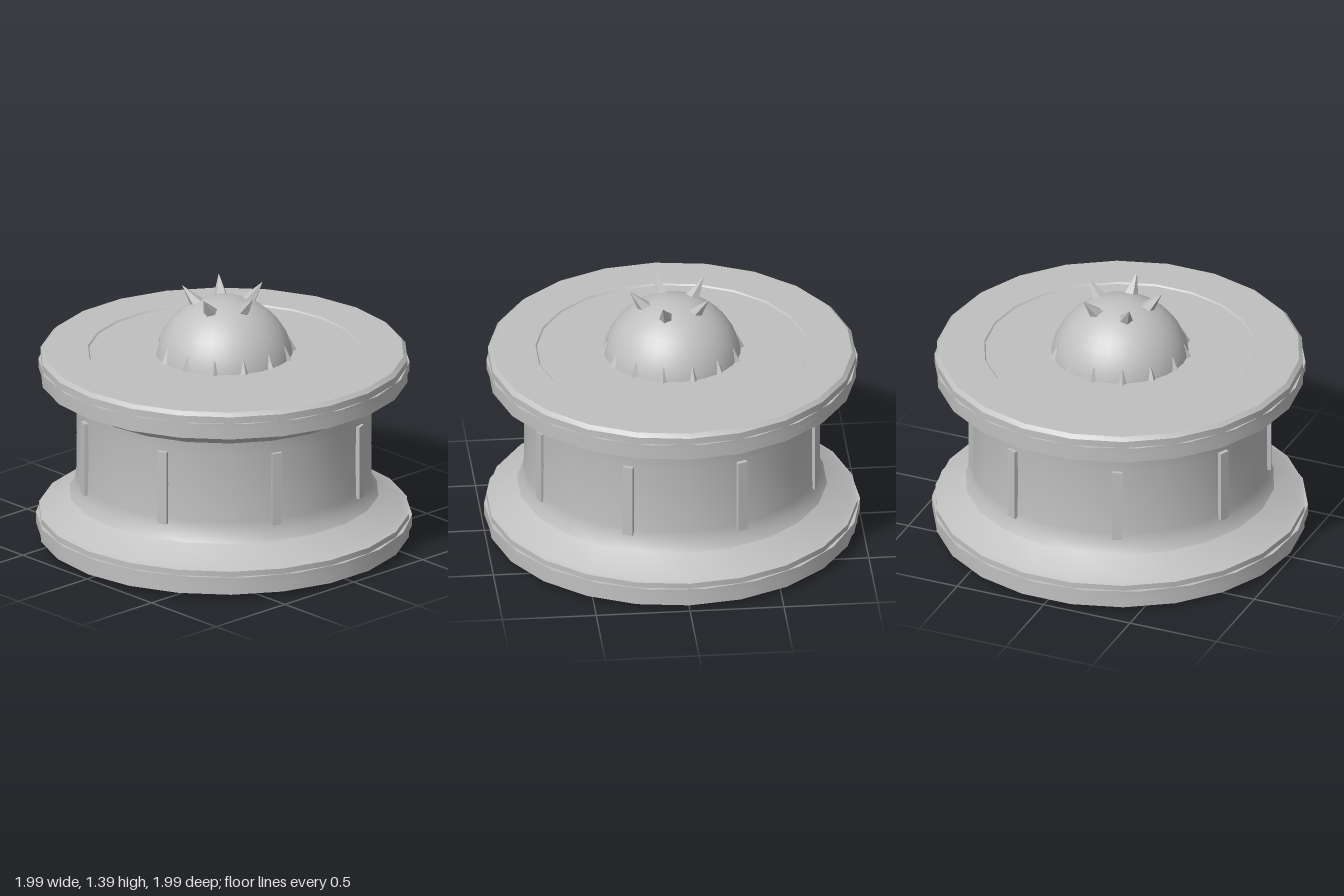
import * as THREE from 'three';
import { toCreasedNormals } from 'three/addons/utils/BufferGeometryUtils.js';

const SIDES = 22;

export function createModel() {
  const model = new THREE.Group();
  const grey = new THREE.MeshStandardMaterial({ color: 0xc0c0c0 });
  grey.name = 'grey metal';

  const add = (name, geometry, parent = model) => {
    const mesh = new THREE.Mesh(geometry, grey);
    mesh.name = name;
    parent.add(mesh);
    return mesh;
  };

  // Turned part from [radius, height] pairs, listed from the bottom up
  const turned = (name, profile, start = Math.PI / 2) => {
    const points = profile.map(([r, y]) => new THREE.Vector2(r, y));
    const lathe = new THREE.LatheGeometry(points, SIDES, start, Math.PI * 2);
    return add(name, toCreasedNormals(lathe, 0.5));
  };

  // Repeats a part around the vertical axis; angle 0 faces the front
  const around = (name, count, offset, build) => {
    const group = new THREE.Group();
    group.name = name;
    for (let i = 0; i < count; i++) {
      const arm = new THREE.Group();
      arm.rotation.y = offset + (i / count) * Math.PI * 2;
      build(arm);
      group.add(arm);
    }
    model.add(group);
  };

  // Spool: lower flange, waisted drum and upper flange
  turned('lowerFlange', [
    [0, 0.025], [0.985, 0.025], [0.985, 0.155], [0.955, 0.165], [0.82, 0.255], [0.7, 0.255],
  ]);
  turned('drum', [
    [0.825, 0.25], [0.795, 0.3], [0.787, 0.36], [0.785, 0.55], [0.787, 0.74],
    [0.795, 0.81], [0.83, 0.842], [0.9, 0.875], [0.972, 0.905],
  ]);
  turned('upperFlange', [
    [0.7, 0.9], [0.978, 0.9], [0.978, 1.025], [0.957, 1.045],
    [0.725, 1.045], [0.718, 1.037], [0, 1.037],
  ]);

  // Thin rims around both flanges
  turned('lowerRim', [[0.9, 0.065], [0.998, 0.065], [0.998, 0.125], [0.9, 0.125]], Math.PI / 2 + 0.08);
  turned('upperRim', [[0.9, 0.942], [0.985, 0.942], [0.985, 0.988], [0.9, 0.988]], Math.PI / 2 + 0.08);

  // Upright ribs on the drum
  around('drumRibs', 8, Math.PI / 8, (arm) => {
    add('rib', new THREE.BoxGeometry(0.055, 0.405, 0.05), arm).position.set(0, 0.535, 0.777);
  });

  // Dome in the middle of the top
  add('dome', new THREE.SphereGeometry(0.372, 32, 10, 0, Math.PI * 2, 0, Math.PI / 2))
    .position.y = 0.968;

  // Crown of five outward spikes
  const spike = new THREE.ConeGeometry(0.05, 0.16, 5).toNonIndexed();
  spike.computeVertexNormals();
  around('crownSpikes', 5, 0, (arm) => {
    const cone = add('spike', spike, arm);
    cone.position.set(0, 1.335, 0.175);
    cone.rotation.x = 0.7;
  });

  // Small teeth ringing the foot of the dome
  const tooth = new THREE.ConeGeometry(0.036, 0.09, 4).toNonIndexed();
  tooth.computeVertexNormals();
  around('domeTeeth', 14, 0, (arm) => {
    const cone = add('tooth', tooth, arm);
    cone.position.set(0, 1.068, 0.35);
    cone.rotation.x = -0.1;
  });

  // Shallow boss and studs on the underside
  const boss = add('bottomBoss', new THREE.SphereGeometry(0.27, 28, 12));
  boss.scale.y = 0.075;
  boss.position.y = 0.022;
  const stud = (z) => (arm) => {
    const mesh = add('stud', new THREE.SphereGeometry(0.035, 10, 6), arm);
    mesh.scale.y = 0.35;
    mesh.position.set(0, 0.024, z);
  };
  around('outerStuds', 5, Math.PI, stud(0.53));
  around('innerStuds', 4, Math.PI / 4, stud(0.28));

  model.position.x = -0.006;
  return model;
}
